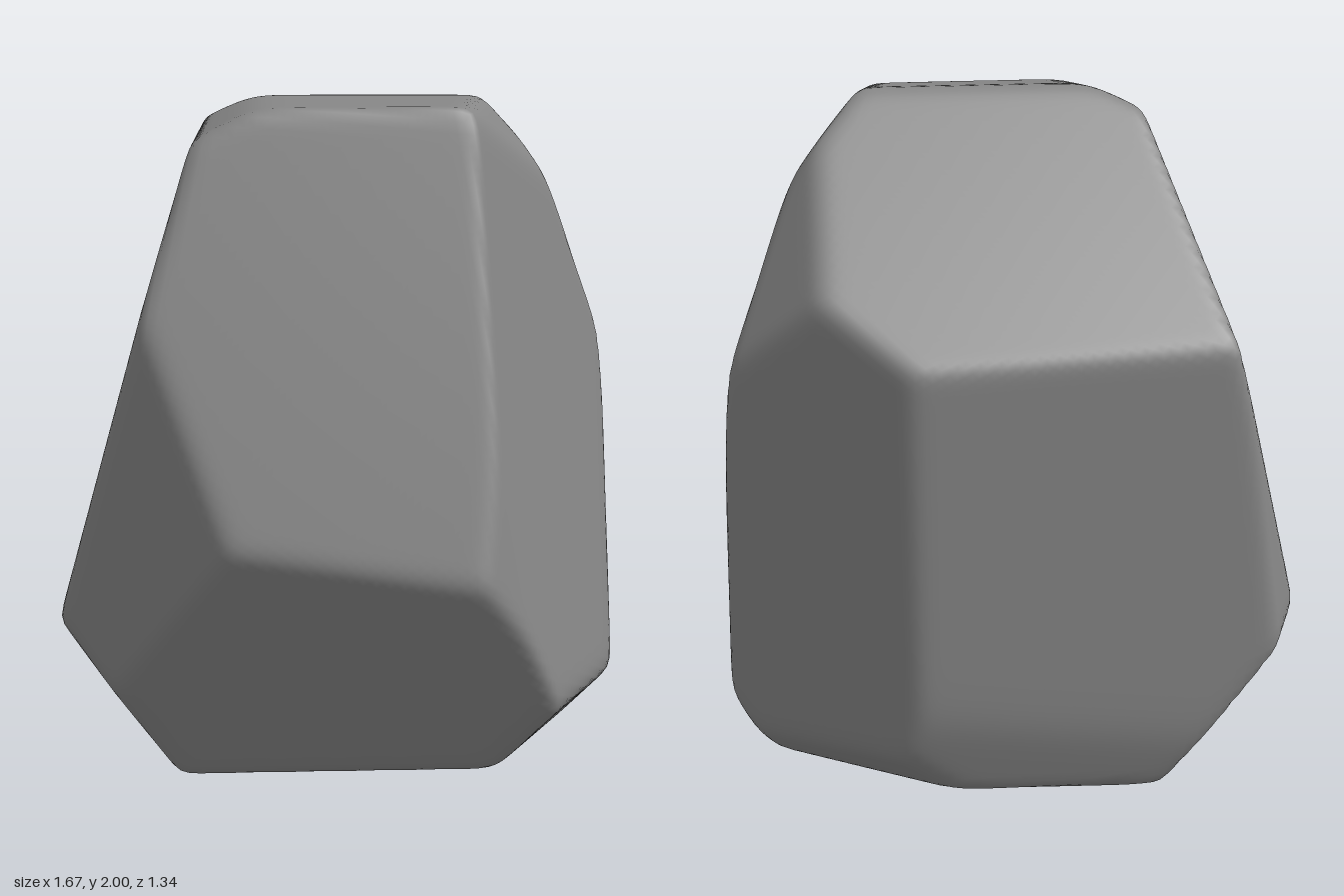
import * as THREE from 'three';
import { mergeVertices } from 'three/addons/utils/BufferGeometryUtils.js';

// Facets of the boulder: outward normal, then a point on the facet
const FACETS = [
  [[0.055, 0.28, 1], [-0.3, 0.78, 0.673]],        // front, upper
  [[-0.06, -0.46, 0.88], [0.1, 0.25, 0.433]],     // front, lower
  [[0.65, 0.15, 0.74], [0.435, 0.65, 0.635]],     // front corner, +x
  [[0.817, 0.16, 0.4], [0.8, 1.3, -0.295]],       // +x front
  [[1, 0.01, 0.02], [0.832, 0.7, -0.1]],          // +x edge
  [[0.65, -0.69, 0.31], [0.63, 0.25, 0.42]],      // +x foot
  [[0.83, -0.52, 0], [0.78, 0.15, 0]],            // +x foot bevel
  [[0.58, -0.05, -0.81], [0.56, 1.3, -0.508]],    // +x back
  [[0.132, 0.081, -0.077], [0.55, 1.85, -0.17]],  // +x shoulder
  [[0.8, 0.6, 0.2], [0.44, 1.965, 0]],            // +x crown bevel
  [[0, 0.695, -0.72], [0, 1.655, -0.36]],         // back slope
  [[0, 1, 0.1], [0, 2.002, 0]],                   // crown
  [[-0.45, 0.88, 0.1], [-0.36, 1.94, 0.1]],       // -x crown bevel
  [[-0.245, -0.01, 0.336], [-0.33, 0.78, 0.665]], // -x front
  [[-0.96, 0.28, 0], [-0.615, 1.22, -0.1]],       // -x side
  [[-0.85, 0.1, -0.5], [-0.76, 0.6, -0.5]],       // -x back
  [[-0.8, -0.58, 0.2], [-0.7, 0.25, 0.1]],        // -x foot
  [[-0.78, -0.6, -0.15], [-0.69, 0.25, 0]],       // -x back foot
  [[-0.04, -0.05, -1], [0, 1.3, -0.66]],          // back
  [[0, -0.3, -0.95], [0, 0.25, -0.608]],          // back foot
  [[0.4, -0.65, -0.6], [0.5, 0.12, -0.44]],       // back foot, +x
  [[0.045, -1, 0], [0, 0.02, 0]],                 // underside
];
const CENTRE = new THREE.Vector3(0, 0.95, 0);
const PROPORTIONS = new THREE.Vector3(0.8, 1, 0.68);
const SHARPNESS = 80;

function boulderGeometry() {
  const planes = FACETS.map(([n, p]) => {
    const normal = new THREE.Vector3(...n).normalize();
    const distance = normal.dot(new THREE.Vector3(...p).sub(CENTRE));
    return normal.divideScalar(distance);
  });

  let geo = new THREE.IcosahedronGeometry(1, 44);
  geo.deleteAttribute('normal');
  geo.deleteAttribute('uv');
  geo = mergeVertices(geo, 1e-5);

  // Push each point out to a softened intersection of all facets
  const pos = geo.attributes.position;
  const dir = new THREE.Vector3();
  for (let i = 0; i < pos.count; i++) {
    dir.fromBufferAttribute(pos, i).multiply(PROPORTIONS).normalize();
    let sum = 0;
    for (const plane of planes) sum += Math.max(0, plane.dot(dir)) ** SHARPNESS;
    dir.multiplyScalar(sum ** (-1 / SHARPNESS)).add(CENTRE);
    pos.setXYZ(i, dir.x, dir.y, dir.z);
  }
  geo.computeVertexNormals();
  return geo;
}

export function createModel() {
  const group = new THREE.Group();
  group.name = 'rock';
  const boulder = new THREE.Mesh(
    boulderGeometry(),
    new THREE.MeshStandardMaterial({ color: 0x868686 })
  );
  boulder.name = 'boulder';
  group.add(boulder);
  return group;
}
